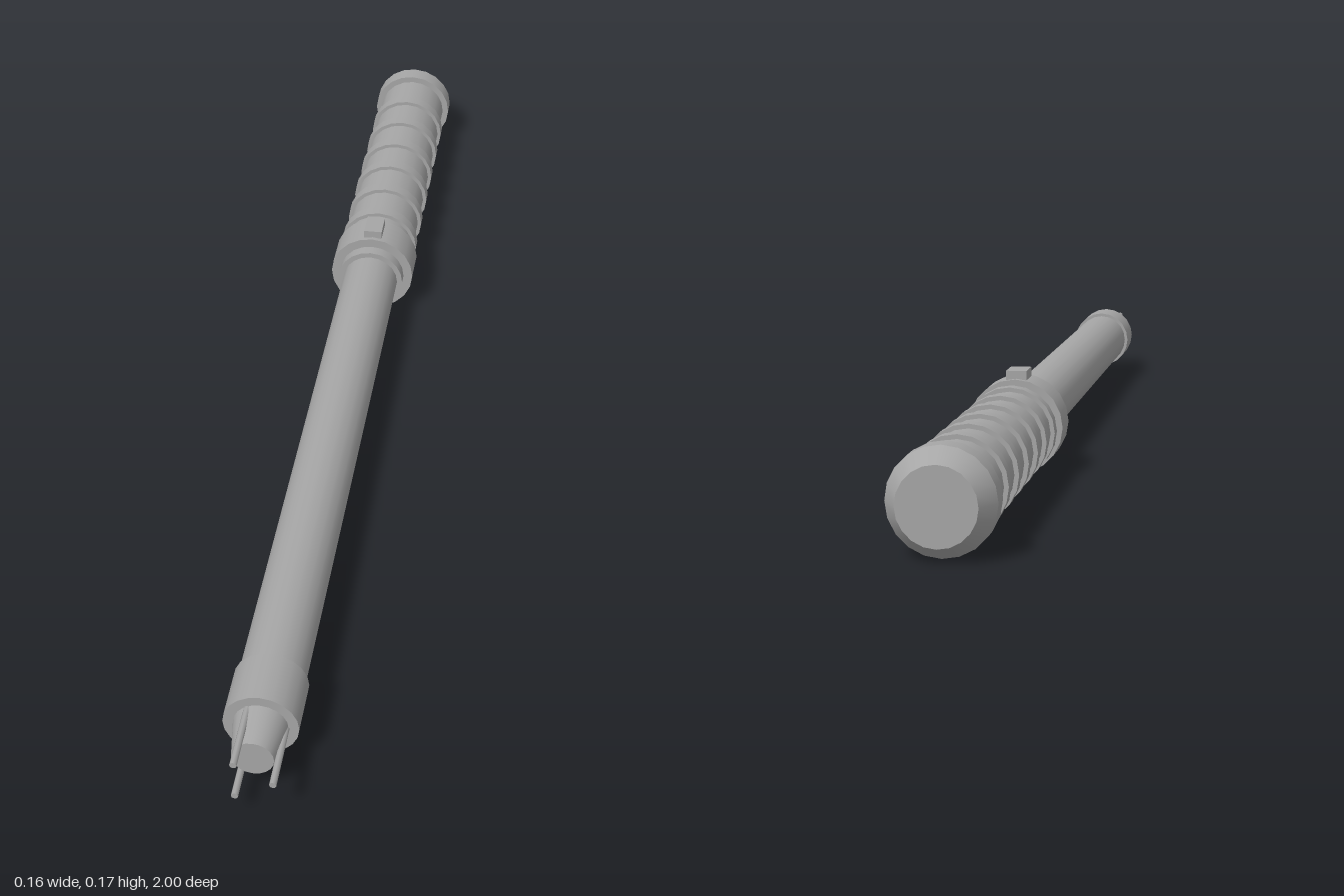
import * as THREE from 'three';

const AXIS = 0.08; // height of the long axis
const SIDES = 20;

export function createModel() {
  const grey = new THREE.MeshStandardMaterial({ color: 0xa6a6a6 });
  grey.name = 'grey';
  const model = new THREE.Group();
  model.name = 'baton';

  // Round section along z, from its back end to its front end
  function section(name, zBack, zFront, rBack, rFront = rBack, x = 0, y = 0, sides = SIDES) {
    const geometry = new THREE.CylinderGeometry(rFront, rBack, zFront - zBack, sides);
    geometry.rotateX(Math.PI / 2);
    const mesh = new THREE.Mesh(geometry, grey);
    mesh.position.set(x, AXIS + y, (zBack + zFront) / 2);
    mesh.name = name;
    model.add(mesh);
  }

  // Handle: bevelled pommel, grip core and raised rings
  section('pommelBevel', -1, -0.965, 0.058, 0.079);
  section('pommel', -0.965, -0.93, 0.079);
  section('grip', -0.93, -0.36, 0.067);
  for (let i = 0; i < 6; i++) {
    const z = -0.402 - i * 0.088;
    section('gripRing', z - 0.012, z + 0.012, 0.074);
  }

  // Guard with its switch
  section('guard', -0.36, -0.29, 0.079);
  section('guardLip', -0.29, -0.268, 0.062);
  const button = new THREE.Mesh(new THREE.BoxGeometry(0.034, 0.03, 0.052), grey);
  button.position.set(0, 0.157, -0.324);
  button.name = 'switch';
  model.add(button);

  // Shaft, end collar and tapered tip
  section('shaft', -0.268, 0.8, 0.052);
  section('collar', 0.8, 0.89, 0.058);
  section('tip', 0.89, 0.955, 0.042, 0.032);

  // Three contact prongs around the tip
  for (let i = 0; i < 3; i++) {
    const a = (i * Math.PI * 2) / 3;
    section('prong', 0.88, 1, 0.0055, 0.0055, Math.cos(a) * 0.038, Math.sin(a) * 0.038, 8);
  }
  return model;
}
